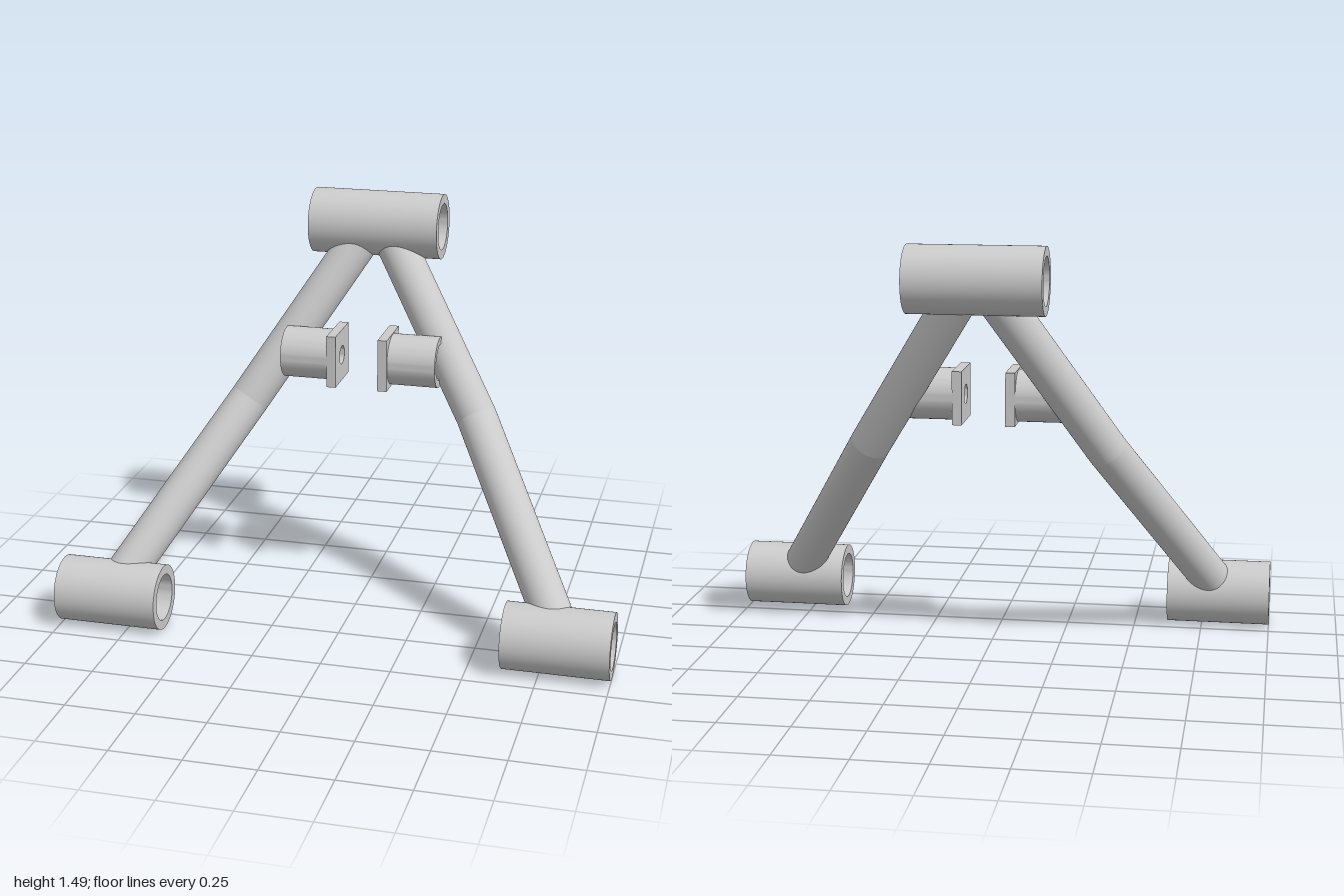
import * as THREE from 'three';
import { toCreasedNormals } from 'three/addons/utils/BufferGeometryUtils.js';

const material = new THREE.MeshStandardMaterial({ color: 0xcccccc });
const ARM_RADIUS = 0.073;

function addMesh(parent, name, geometry) {
  const mesh = new THREE.Mesh(geometry, material);
  mesh.name = name;
  parent.add(mesh);
  return mesh;
}

// Extrude a profile with a round hole along x, centred on the origin
function extrudeAlongX(shape, hole, length) {
  shape.holes.push(new THREE.Path().absarc(0, 0, hole, 0, Math.PI * 2, true));
  const g = new THREE.ExtrudeGeometry(shape, { depth: length, bevelEnabled: false, curveSegments: 32 });
  g.translate(0, 0, -length / 2).rotateY(Math.PI / 2);
  return toCreasedNormals(g, 0.6);
}

function sleeve(outer, inner, length) {
  return extrudeAlongX(new THREE.Shape().absarc(0, 0, outer, 0, Math.PI * 2, false), inner, length);
}

function squarePlate(size, hole, thickness) {
  const h = size / 2;
  const shape = new THREE.Shape([
    new THREE.Vector2(-h, -h), new THREE.Vector2(h, -h),
    new THREE.Vector2(h, h), new THREE.Vector2(-h, h),
  ]);
  return extrudeAlongX(shape, hole, thickness);
}

// Straight pipe, mitred at the bend and coped to sit inside a sleeve wall
function armSegment(bend, end, otherEnd) {
  const u = end.clone().sub(bend).normalize();
  const v = otherEnd.clone().sub(bend).normalize();
  const mitre = u.clone().sub(v).normalize();
  const a = new THREE.Vector3(0, 0, 1).cross(u).normalize();
  const b = u.clone().cross(a);
  const sides = 48, wall = 0.1;
  const positions = [], index = [];
  for (let i = 0; i <= sides; i++) {
    const angle = (i / sides) * Math.PI * 2;
    const offset = a.clone().multiplyScalar(Math.cos(angle) * ARM_RADIUS)
      .addScaledVector(b, Math.sin(angle) * ARM_RADIUS);
    const p = bend.clone().add(offset);
    const start = p.clone().addScaledVector(u, -offset.dot(mitre) / u.dot(mitre));
    // first hit of the pipe line with the sleeve (its axis runs along x)
    const dy = p.y - end.y, dz = p.z - end.z;
    const A = u.y * u.y + u.z * u.z;
    const B = dy * u.y + dz * u.z;
    const C = dy * dy + dz * dz - wall * wall;
    const t = (-B - Math.sqrt(Math.max(0, B * B - A * C))) / A;
    const stop = p.clone().addScaledVector(u, t);
    positions.push(...start.toArray(), ...stop.toArray());
    if (i < sides) {
      const k = i * 2;
      index.push(k, k + 2, k + 1, k + 2, k + 3, k + 1);
    }
  }
  const g = new THREE.BufferGeometry();
  g.setAttribute('position', new THREE.Float32BufferAttribute(positions, 3));
  g.setIndex(index);
  return toCreasedNormals(g, 0.6);
}

export function createModel() {
  const model = new THREE.Group();
  model.name = 'controlArm';

  // Top pivot sleeve
  addMesh(model, 'topSleeve', sleeve(0.118, 0.084, 0.476)).position.set(0, 1.37, -0.355);

  for (const [side, s] of [['left', 1], ['right', -1]]) {
    // Bottom pivot sleeve
    addMesh(model, side + 'BottomSleeve', sleeve(0.118, 0.084, 0.378)).position.set(s * 0.811, 0.118, 0.355);

    // Bent arm made from two pipes
    const top = new THREE.Vector3(s * 0.028, 1.37, -0.355);
    const bend = new THREE.Vector3(s * 0.425, 0.745, -0.095);
    const bottom = new THREE.Vector3(s * 0.822, 0.118, 0.355);
    addMesh(model, side + 'UpperArm', armSegment(bend, top, bottom));
    addMesh(model, side + 'LowerArm', armSegment(bend, bottom, top));

    // Mounting bracket: drilled square plate with a short sleeve behind it
    const bracket = new THREE.Group();
    bracket.name = side + 'Bracket';
    bracket.position.set(0, 0.935, -0.108);
    addMesh(bracket, side + 'BracketPlate', squarePlate(0.19, 0.034, 0.034)).position.x = s * 0.094;
    addMesh(bracket, side + 'BracketSleeve', sleeve(0.092, 0.066, 0.174)).position.x = s * 0.197;
    model.add(bracket);
  }
  return model;
}
